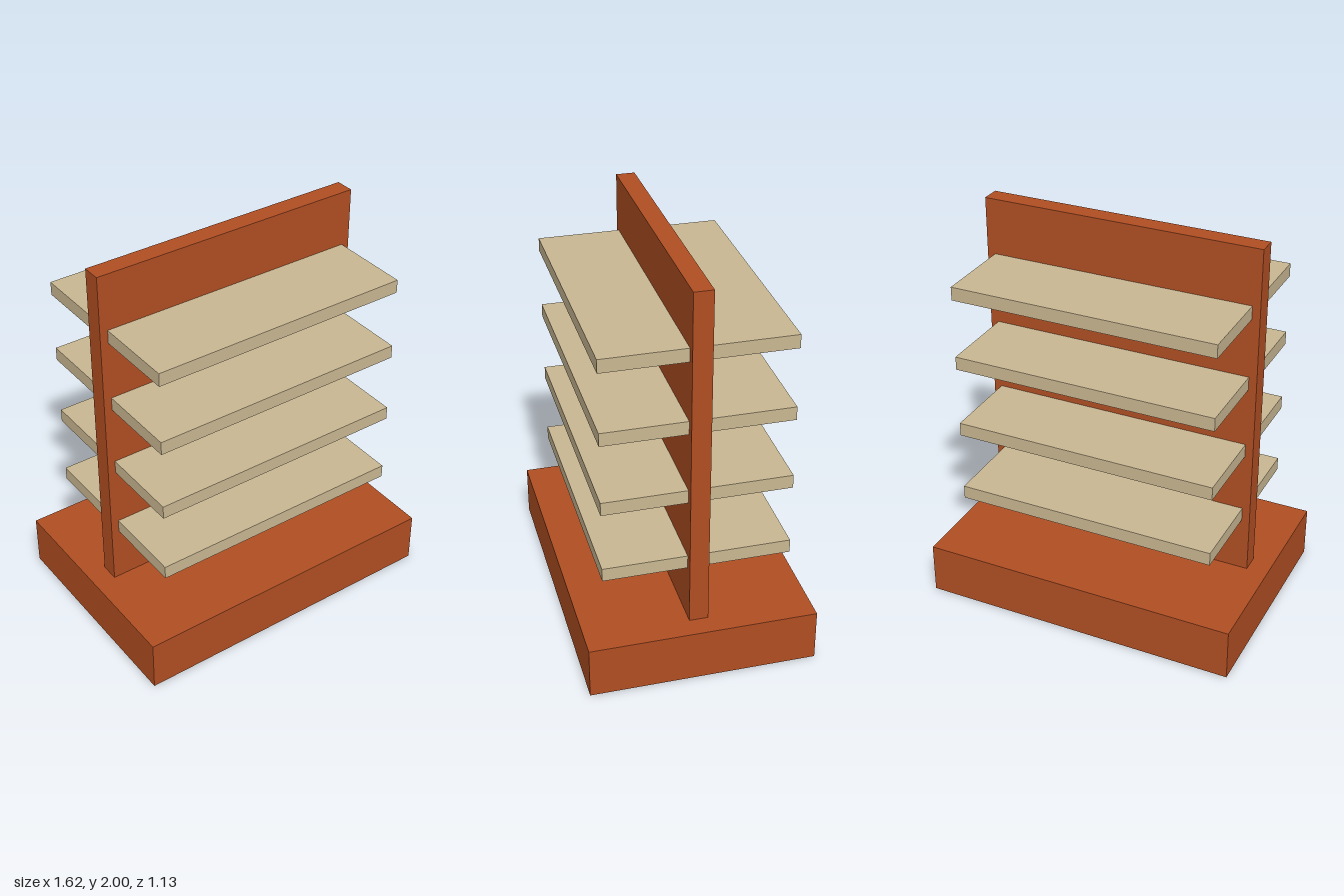
import * as THREE from 'three';

export function createModel() {
  const model = new THREE.Group();
  model.name = 'doubleSidedShelf';

  const rust = new THREE.MeshStandardMaterial({ color: 0xb04e22 });
  rust.name = 'rust';
  const tan = new THREE.MeshStandardMaterial({ color: 0xc9b792 });
  tan.name = 'tan';

  // Box given its size, bottom height and z centre
  function addBox(name, material, width, height, depth, bottom, z = 0) {
    const mesh = new THREE.Mesh(new THREE.BoxGeometry(width, height, depth), material);
    mesh.name = name;
    mesh.position.set(0, bottom + height / 2, z);
    model.add(mesh);
  }

  const baseTop = 0.263;
  const panelDepth = 0.094;

  // Plinth and upright centre panel
  addBox('base', rust, 1.624, baseTop, 1.126, 0);
  addBox('backPanel', rust, 1.41, 2 - baseTop, panelDepth, baseTop);

  // Four shelves on each side of the panel
  const shelfReach = 0.46;
  const shelfDepth = shelfReach - panelDepth / 2;
  for (let i = 0; i < 4; i++) {
    const bottom = 0.547 + i * 0.367;
    for (const [side, name] of [[1, 'frontShelf'], [-1, 'rearShelf']]) {
      const z = side * (panelDepth + shelfDepth) / 2;
      addBox(name + (i + 1), tan, 1.33, 0.068, shelfDepth, bottom, z);
    }
  }

  return model;
}
